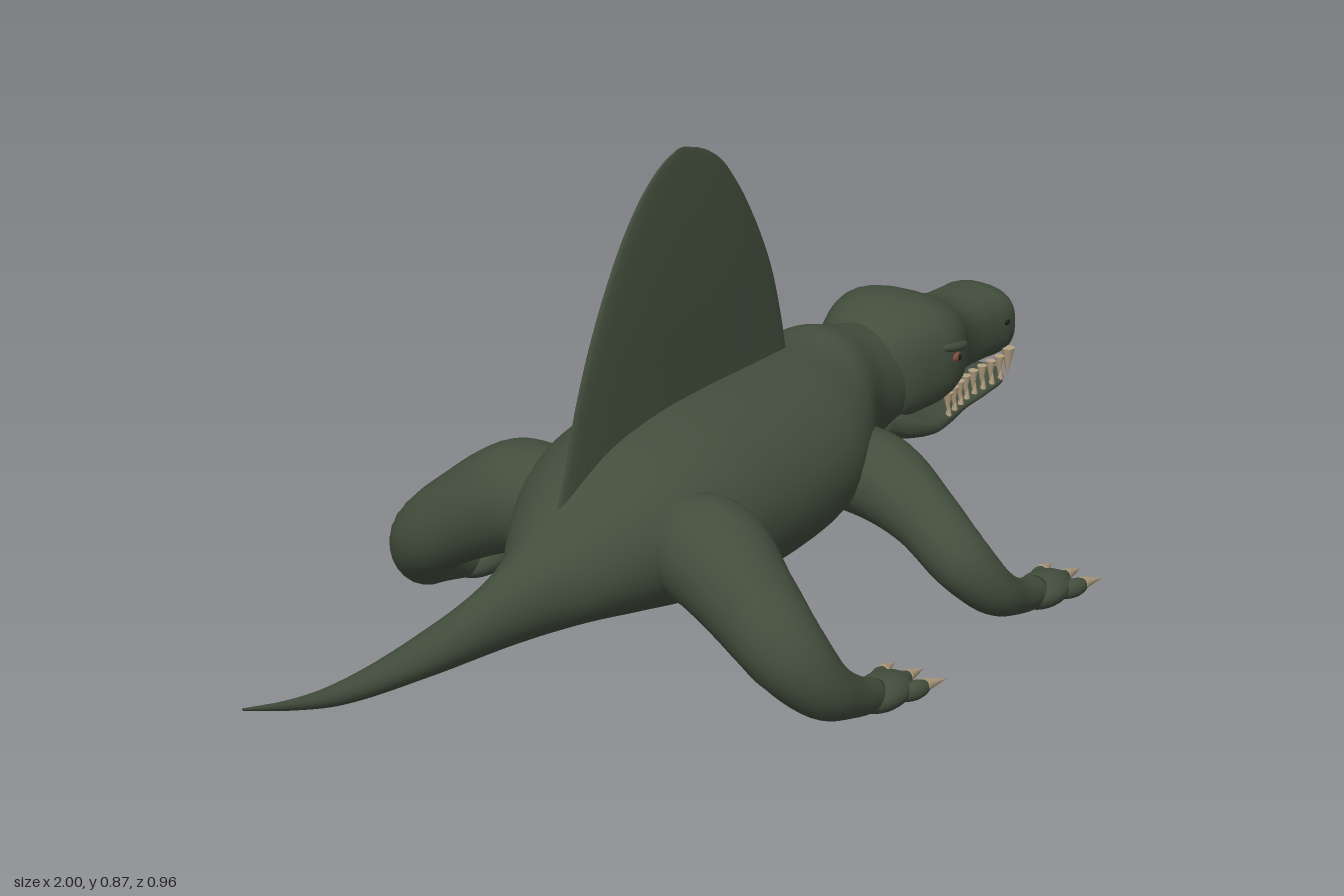
import * as THREE from 'three';

const skin = new THREE.MeshStandardMaterial({ color: 0x434e3d });
skin.name = 'dark green skin';
const ivory = new THREE.MeshStandardMaterial({ color: 0xb5a283 });
ivory.name = 'ivory';
const eyeRed = new THREE.MeshStandardMaterial({ color: 0x85503f });
eyeRed.name = 'eye red';
const dark = new THREE.MeshStandardMaterial({ color: 0x1c201a });
dark.name = 'dark';

// Closed skin over a list of rings, each ring an array of points
function skinRings(rings) {
  const n = rings[0].length;
  const centre = (ring) => {
    const c = new THREE.Vector3();
    ring.forEach((p) => c.addScaledVector(p, 1 / n));
    return ring.map(() => c);
  };
  const all = [centre(rings[0]), ...rings, centre(rings[rings.length - 1])];
  const index = [];
  for (let i = 0; i < all.length - 1; i++) {
    for (let j = 0; j < n; j++) {
      const a = i * n + j, b = i * n + (j + 1) % n;
      index.push(a, a + n, b, b, a + n, b + n);
    }
  }
  const geo = new THREE.BufferGeometry().setFromPoints(all.flat());
  geo.setIndex(index);
  geo.computeVertexNormals();
  return geo;
}

// Loft along x through sections [x, top, bottom, half width]; power 2 is an ellipse, more is boxier
function loft(sections, steps, power = 2, sides = 32) {
  const xs = sections.map((s) => s[0]);
  const spline = new THREE.CubicInterpolant(xs, sections.flatMap((s) => s.slice(1)), 3);
  const round = (v) => Math.sign(v) * Math.abs(v) ** (2 / power);
  const rings = [];
  for (let i = 0; i <= steps; i++) {
    const x = xs[0] + (xs[xs.length - 1] - xs[0]) * i / steps;
    const [top, bottom, w] = spline.evaluate(x);
    rings.push(Array.from({ length: sides }, (_, j) => {
      const a = j / sides * Math.PI * 2;
      return new THREE.Vector3(x, (top + bottom) / 2 + (top - bottom) / 2 * round(Math.sin(a)), w * round(Math.cos(a)));
    }));
  }
  return skinRings(rings);
}

// Tapering limb through points [x, y, z, radius], on side s
function limb(points, s, steps = 36, sides = 20) {
  const curve = new THREE.CatmullRomCurve3(points.map((p) => new THREE.Vector3(p[0], p[1], p[2] * s)));
  const radii = new THREE.CubicInterpolant(points.map((_, i) => i / (points.length - 1)), points.map((p) => p[3]), 1);
  const rings = [];
  for (let i = 0; i <= steps; i++) {
    const t = i / steps;
    const dir = curve.getTangent(t);
    const n = new THREE.Vector3(0, 1, 0).addScaledVector(dir, -dir.y).normalize();
    const b = dir.clone().cross(n);
    const r = radii.evaluate(t)[0];
    const c = curve.getPoint(t);
    rings.push(Array.from({ length: sides }, (_, j) => {
      const a = j / sides * Math.PI * 2;
      return c.clone().addScaledVector(n, r * Math.cos(a)).addScaledVector(b, -r * Math.sin(a));
    }));
  }
  return skinRings(rings);
}

function add(parent, name, geo, mat, x = 0, y = 0, z = 0) {
  const mesh = new THREE.Mesh(geo, mat);
  mesh.name = name;
  mesh.position.set(x, y, z);
  parent.add(mesh);
  return mesh;
}

const ball = (rx, ry, rz) => new THREE.SphereGeometry(1, 24, 16).scale(rx, ry, rz);

// Leg with foot, three toes and claws
function addLeg(parent, name, points, footX, s) {
  const leg = new THREE.Group();
  leg.name = name;
  add(leg, 'limb', limb(points, s), skin);
  const fz = 0.425 * s;
  add(leg, 'foot', ball(0.065, 0.029, 0.043), skin, footX, 0.03, fz);
  for (const k of [-1, 0, 1]) {
    const reach = k === 0 ? 0.068 : 0.058;
    const toe = add(leg, 'toe', ball(0.034, 0.017, 0.015), skin, footX + reach - 0.018, 0.026, fz + k * 0.035);
    toe.rotation.y = -k * 0.3;
    const claw = new THREE.ConeGeometry(0.012, 0.05, 10).rotateZ(-Math.PI / 2 - 0.12);
    add(leg, 'claw', claw, ivory, footX + reach + 0.03, 0.026, fz + k * 0.046).rotation.y = -k * 0.2;
  }
  parent.add(leg);
}

export function createModel() {
  const model = new THREE.Group();
  model.name = 'sail-backed reptile';

  // Tail, trunk and neck in one skin
  add(model, 'body', loft([
    [-1, 0.292, 0.288, 0.002], [-0.9, 0.265, 0.248, 0.009], [-0.8, 0.249, 0.216, 0.018],
    [-0.6, 0.25, 0.186, 0.035], [-0.4, 0.281, 0.163, 0.052], [-0.32, 0.31, 0.154, 0.075],
    [-0.25, 0.356, 0.148, 0.118], [-0.15, 0.41, 0.132, 0.17], [-0.03, 0.436, 0.11, 0.202],
    [0.1, 0.442, 0.103, 0.212], [0.22, 0.44, 0.108, 0.21], [0.32, 0.436, 0.125, 0.195],
    [0.4, 0.43, 0.16, 0.16], [0.46, 0.437, 0.197, 0.123], [0.52, 0.42, 0.2, 0.1],
    [0.58, 0.405, 0.195, 0.095], [0.66, 0.39, 0.21, 0.09],
  ], 110, 2, 40), skin);

  // Back sail, lofted upwards
  const sail = loft([
    [0.34, 0.265, -0.37, 0.014], [0.42, 0.24, -0.36, 0.014], [0.5, 0.217, -0.342, 0.014],
    [0.6, 0.178, -0.31, 0.014], [0.7, 0.127, -0.26, 0.012], [0.78, 0.074, -0.207, 0.009],
    [0.83, 0.026, -0.16, 0.006], [0.86, -0.02, -0.105, 0.003], [0.87, -0.05, -0.07, 0.001],
  ], 50, 2.4, 40).rotateZ(Math.PI / 2);
  add(model, 'sail', sail, skin);

  // Skull with snout, and lower jaw
  const head = new THREE.Group();
  head.name = 'head';
  model.add(head);
  add(head, 'skull', loft([
    [0.56, 0.39, 0.25, 0.07], [0.6, 0.417, 0.22, 0.1], [0.65, 0.432, 0.218, 0.12],
    [0.7, 0.432, 0.222, 0.13], [0.75, 0.416, 0.23, 0.118], [0.8, 0.392, 0.234, 0.09],
    [0.85, 0.376, 0.236, 0.076], [0.92, 0.37, 0.234, 0.075], [0.965, 0.366, 0.232, 0.076],
    [0.988, 0.354, 0.238, 0.068], [0.998, 0.33, 0.255, 0.05],
  ], 60, 2.6), skin);
  add(head, 'lower jaw', loft([
    [0.57, 0.27, 0.205, 0.075], [0.62, 0.25, 0.184, 0.098], [0.68, 0.222, 0.174, 0.105],
    [0.75, 0.208, 0.171, 0.092], [0.82, 0.203, 0.173, 0.077], [0.9, 0.204, 0.178, 0.074],
    [0.96, 0.207, 0.184, 0.066], [0.983, 0.204, 0.192, 0.045],
  ], 40, 2.6), skin);

  for (const s of [-1, 1]) {
    const side = s > 0 ? 'left'  : 'right';
    // Upper and lower teeth
    for (let i = 0; i < 9; i++) {
      const x = 0.73 + i * 0.029;
      const z = s * (x < 0.82 ? 0.074 + (0.82 - x) * 0.22 : 0.072);
      const size = i === 8 ? 1.35 : 1;
      const tooth = new THREE.ConeGeometry(0.0095 * size, 0.042 * size, 8).rotateX(Math.PI);
      add(head, 'upper tooth', tooth, ivory, x, 0.228, z);
      if (i < 8) add(head, 'lower tooth', new THREE.ConeGeometry(0.006, 0.032, 8), ivory, x + 0.014, 0.214, z * 0.93);
    }
    // Eye under a heavy brow
    add(head, side + ' eye', ball(0.013, 0.01, 0.008), eyeRed, 0.7, 0.335, s * 0.126);
    add(head, side + ' pupil', ball(0.005, 0.006, 0.003), dark, 0.703, 0.335, s * 0.133);
    add(head, side + ' brow', ball(0.042, 0.011, 0.014), skin, 0.705, 0.352, s * 0.119).rotation.z = -0.2;
    add(head, side + ' nostril', ball(0.01, 0.006, 0.004), dark, 0.95, 0.31, s * 0.074);

    // Sprawling legs
    addLeg(model, side + ' front leg', [
      [0.395, 0.23, 0.12, 0.078], [0.375, 0.23, 0.2, 0.075], [0.347, 0.2, 0.3, 0.06],
      [0.335, 0.145, 0.385, 0.053], [0.375, 0.088, 0.422, 0.043], [0.44, 0.053, 0.428, 0.032],
      [0.51, 0.034, 0.425, 0.028],
    ], 0.535, s);
    addLeg(model, side + ' hind leg', [
      [-0.105, 0.275, 0.13, 0.085], [-0.115, 0.268, 0.2, 0.095], [-0.138, 0.22, 0.29, 0.08],
      [-0.147, 0.155, 0.375, 0.067], [-0.11, 0.095, 0.415, 0.052], [-0.045, 0.058, 0.427, 0.036],
      [0.02, 0.034, 0.425, 0.028],
    ], 0.045, s);
  }
  return model;
}
